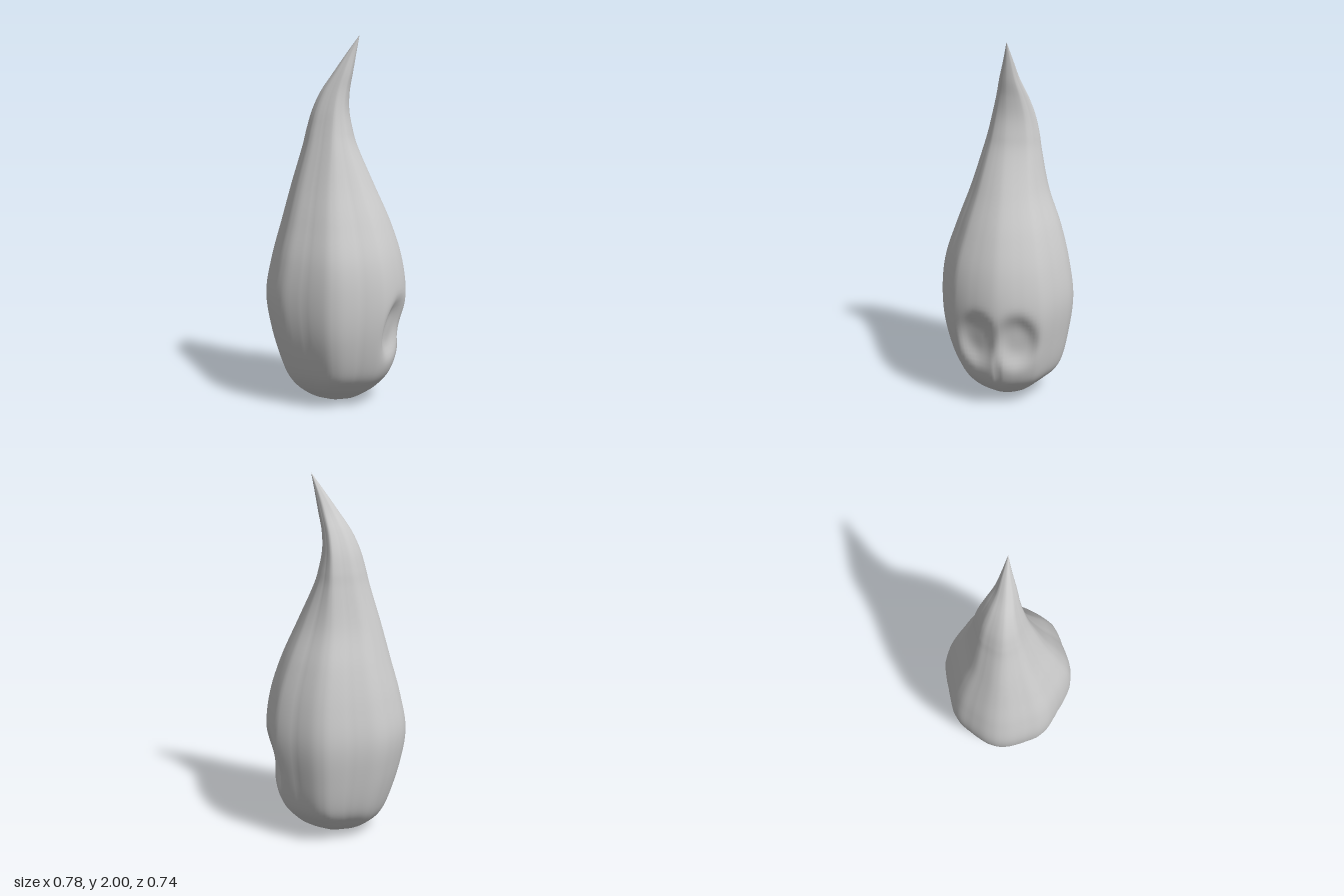
import * as THREE from 'three';

// Height, reach to -x, reach to +x, reach to +z, reach to -z, spine x
const RINGS = [
  [0.00, 0.00, 0.00, 0.00, 0.00, 0.00],
  [0.01, -0.10, 0.10, 0.09, -0.08, 0.00],
  [0.04, -0.18, 0.17, 0.14, -0.14, 0.00],
  [0.10, -0.25, 0.25, 0.22, -0.22, 0.00],
  [0.20, -0.30, 0.32, 0.295, -0.30, 0.02],
  [0.40, -0.36, 0.368, 0.355, -0.345, 0.02],
  [0.60, -0.389, 0.389, 0.37, -0.365, 0.02],
  [0.80, -0.355, 0.365, 0.35, -0.34, 0.02],
  [1.00, -0.30, 0.30, 0.285, -0.29, 0.01],
  [1.20, -0.245, 0.21, 0.21, -0.22, 0.00],
  [1.40, -0.185, 0.12, 0.145, -0.18, 0.00],
  [1.50, -0.16, 0.09, 0.115, -0.165, 0.00],
  [1.60, -0.13, 0.072, 0.09, -0.143, 0.005],
  [1.70, -0.083, 0.075, 0.065, -0.108, 0.02],
  [1.80, -0.015, 0.093, 0.042, -0.066, 0.05],
  [1.90, 0.055, 0.11, 0.014, -0.038, 0.085],
  [2.00, 0.128, 0.128, -0.012, -0.012, 0.128],
];

// Roundness of the soft-cornered outline, every 10 degrees from +x to -x
const OUTLINE = [1, 0.99, 0.985, 0.995, 1.01, 0.98, 0.955, 0.97, 0.995, 1,
  0.965, 0.94, 0.95, 0.98, 0.985, 0.965, 0.97, 0.99, 1];

const bump = (d, w) => Math.exp(-((d / w) ** 2));

// Smooth interpolation of one ring channel
function spline(t, c) {
  const i = Math.min(Math.floor(t), RINGS.length - 2), f = t - i;
  const v = k => RINGS[Math.max(0, Math.min(RINGS.length - 1, k))][c];
  const a = v(i - 1), b = v(i), d = v(i + 1), e = v(i + 2);
  return b + 0.5 * f * (d - a + f * (2 * a - 5 * b + 4 * d - e + f * (3 * (b - d) + e - a)));
}

function outline(angle) {
  const s = Math.acos(Math.max(-1, Math.min(1, Math.cos(angle)))) / Math.PI * 18;
  const i = Math.min(17, Math.floor(s));
  return THREE.MathUtils.lerp(OUTLINE[i], OUTLINE[i + 1], s - i);
}

// Two round hollows on the +x side, with a fine groove between them
function hollow(x, y, z) {
  if (x < 0.05) return 0;
  const d = Math.hypot((Math.abs(z) - 0.105) / 0.105, (y - 0.43) / 0.15);
  const pit = 0.05 * Math.exp(-(d ** 4) * 1.2);
  const groove = 0.012 * bump(z, 0.012) * bump(y - 0.3, 0.2);
  return pit + groove;
}

function dropGeometry() {
  const around = 108, steps = 128, positions = [], index = [];
  for (let j = 0; j <= steps; j++) {
    const t = j / steps * (RINGS.length - 1);
    const [y, xl, xr, zf, zb, cx] = [0, 1, 2, 3, 4, 5].map(c => spline(t, c));
    const cz = y > 1.7 ? -0.012 * (y - 1.7) / 0.3 : 0;
    for (let i = 0; i < around; i++) {
      const a = i / around * Math.PI * 2;
      const c = Math.cos(a), s = Math.sin(a), k = outline(a);
      let x = cx + c * k * (c > 0 ? xr - cx : cx - xl);
      const z = cz + s * k * (s > 0 ? zf - cz : cz - zb);
      x -= hollow(x, y, z);
      positions.push(x, Math.max(0, y), z);
    }
  }
  for (let j = 0; j < steps; j++) {
    for (let i = 0; i < around; i++) {
      const n = (i + 1) % around;
      const a = j * around + i, b = j * around + n;
      const c = a + around, d = b + around;
      if (j > 0) index.push(a, c, b);
      if (j < steps - 1) index.push(b, c, d);
      // Close the fan at either pole
      if (j === 0) index.push(a, c, d);
      if (j === 0) index.splice(index.length - 6, 3);
    }
  }
  const g = new THREE.BufferGeometry();
  g.setAttribute('position', new THREE.Float32BufferAttribute(positions, 3));
  g.setIndex(index);
  g.computeVertexNormals();
  return g;
}

export function createModel() {
  const group = new THREE.Group();
  group.name = 'curledDrop';
  const grey = new THREE.MeshStandardMaterial({ color: 0xcccccc });
  grey.name = 'grey';
  const drop = new THREE.Mesh(dropGeometry(), grey);
  drop.name = 'dropBody';
  group.add(drop);
  return group;
}
